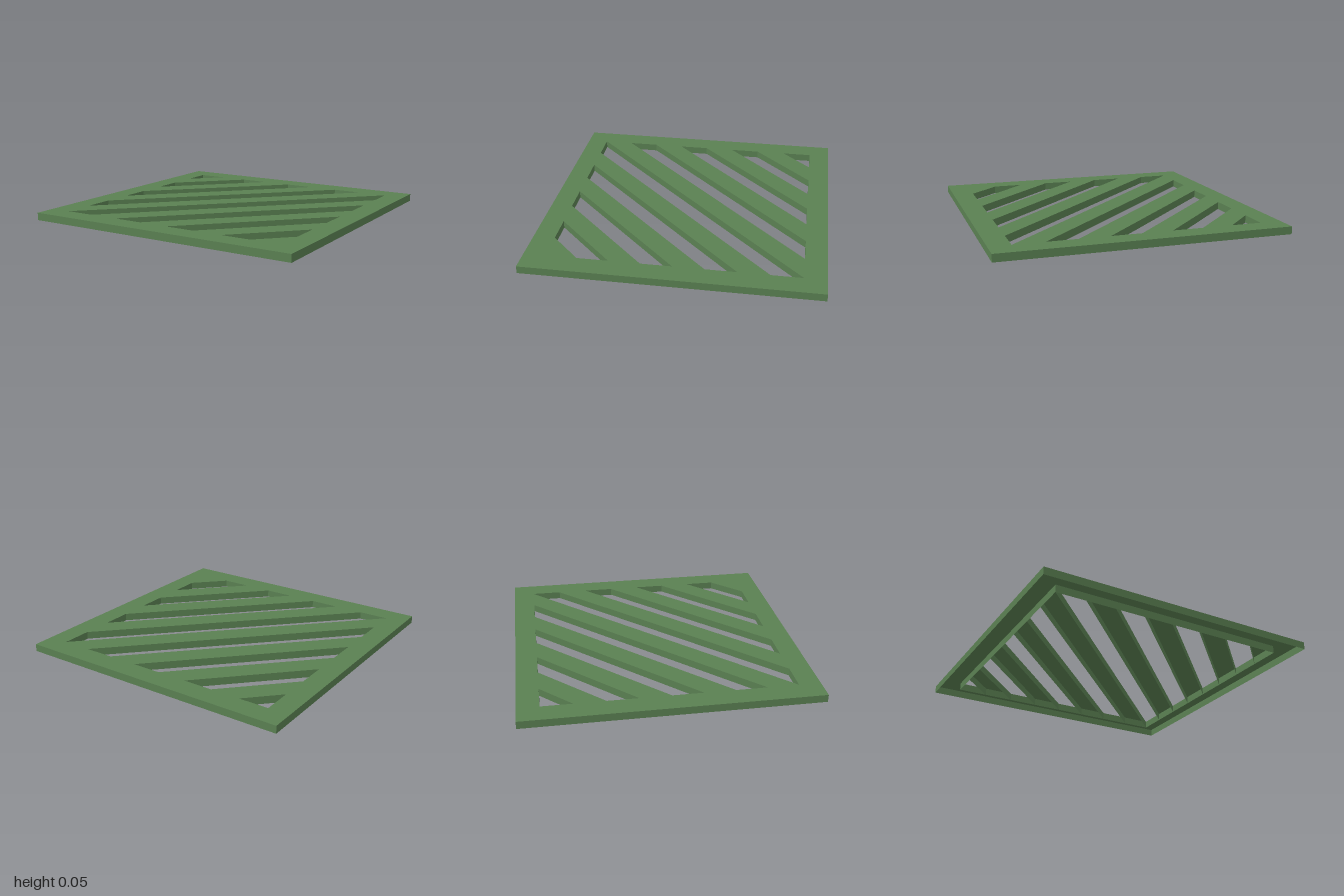
import * as THREE from 'three';

const H = 0.053;          // height of the grate
const A = 0.85;           // half width of the slatted opening
const PITCH = A / 2;      // slat spacing, measured along x + z
const GAP = PITCH / 2;    // width of each slot

// The two [x, z] points where the diagonal x + z = c meets the opening's border
function diagonal(c) {
  return c <= 0 ? [[-A, c + A], [c + A, -A]] : [[c - A, A], [A, c - A]];
}

function square(r) {
  return [[-r, r], [r, r], [r, -r], [-r, -r]];
}

// Outline of [x, z] points as 2D vectors, lying flat after rotation about x
function outline(points) {
  return points.map(([x, z]) => new THREE.Vector2(x, -z));
}

// Upright thin sheet running from a to b, full height
function sheet(name, a, b, material) {
  const dx = b[0] - a[0], dz = b[1] - a[1];
  const mesh = new THREE.Mesh(new THREE.PlaneGeometry(Math.hypot(dx, dz), H), material);
  mesh.name = name;
  mesh.position.set((a[0] + b[0]) / 2, H / 2, (a[1] + b[1]) / 2);
  mesh.rotation.y = Math.atan2(-dz, dx);
  return mesh;
}

export function createModel() {
  const model = new THREE.Group();
  model.name = 'slattedGrate';
  const green = new THREE.MeshStandardMaterial({ color: 0x5a8052, side: THREE.DoubleSide });
  green.name = 'leafGreen';

  const plate = new THREE.Shape(outline(square(1)));
  const slatWalls = new THREE.Group();
  slatWalls.name = 'slatWalls';

  // Diagonal slots, each lined by two walls
  for (let k = 0; k < 8; k++) {
    const start = -2 * A + k * PITCH;
    const [a, b] = diagonal(start);
    const [c, d] = diagonal(start + GAP);
    const corners = k === 0 ? [a, d, c] : [a, b, d, c];
    plate.holes.push(new THREE.Path(outline(corners)));
    if (k > 0) slatWalls.add(sheet('slatWall', a, b, green));
    slatWalls.add(sheet('slatWall', d, c, green));
  }

  // Top sheet, open underneath
  const top = new THREE.Mesh(new THREE.ShapeGeometry(plate), green);
  top.name = 'topPlate';
  top.rotation.x = -Math.PI / 2;
  top.position.y = H;
  model.add(top, slatWalls);

  // Outer skirt and inner rim
  for (const [name, r] of [['outerSkirt', 1], ['innerRim', A]]) {
    const ring = new THREE.Group();
    ring.name = name;
    const p = square(r);
    p.forEach((a, i) => ring.add(sheet(name + 'Side', a, p[(i + 1) % 4], green)));
    model.add(ring);
  }
  return model;
}
